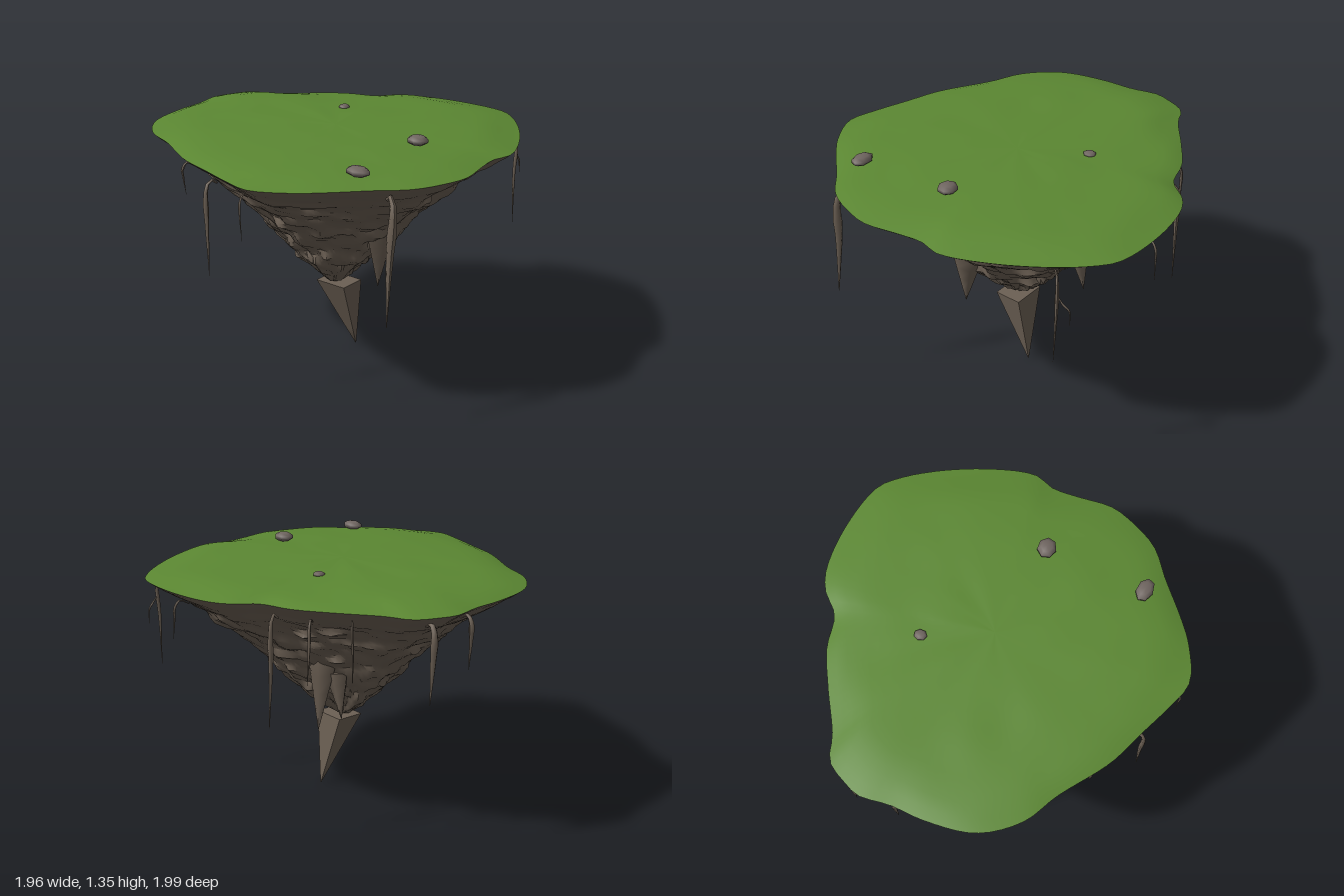
import * as THREE from 'three';
import { toCreasedNormals } from 'three/addons/utils/BufferGeometryUtils.js';

const SEG = 112;
const CX = -0.01, CZ = 0.05; // axis of the island

// Rim outline, pairs of x, z
const RIM = [
  [0.975, 0.2], [0.95, 0.49], [0.87, 0.6], [0.76, 0.7], [0.62, 0.8], [0.48, 0.88], [0.32, 0.95],
  [0.24, 0.965], [0.14, 0.94], [0, 0.96], [-0.18, 0.995], [-0.28, 0.98], [-0.48, 0.9], [-0.62, 0.76],
  [-0.78, 0.61], [-0.88, 0.5], [-0.98, 0.31], [-0.95, 0.15], [-0.89, -0.05], [-0.83, -0.25],
  [-0.68, -0.53], [-0.6, -0.72], [-0.43, -0.88], [-0.18, -0.95], [0, -0.965], [0.16, -1], [0.24, -0.98],
  [0.37, -0.92], [0.43, -0.8], [0.58, -0.6], [0.7, -0.42], [0.76, -0.25], [0.87, -0.16], [0.93, -0.06],
];
// Profiles as [fraction of rim radius, y]
const GRASS = [[0, 1.305], [0.3, 1.302], [0.6, 1.295], [0.8, 1.285], [0.92, 1.267], [0.98, 1.253], [1, 1.248]];
const ROCK = [[1, 1.248], [0.985, 1.235], [0.93, 1.2], [0.85, 1.15], [0.75, 1.085], [0.62, 0.98], [0.5, 0.87],
  [0.4, 0.77], [0.3, 0.66], [0.2, 0.555], [0.11, 0.475], [0.05, 0.425], [0, 0.405]];

const hash = (a, b) => {
  const s = Math.sin(a * 127.1 + b * 311.7) * 43758.5453;
  return (s - Math.floor(s)) * 2 - 1;
};

// Smooth value noise, periodic in u
function noise(u, v, period) {
  const i = Math.floor(u), j = Math.floor(v);
  const s = (t) => t * t * (3 - 2 * t);
  const fu = s(u - i), fv = s(v - j);
  const h = (a, b) => hash(a % period, b);
  return THREE.MathUtils.lerp(
    THREE.MathUtils.lerp(h(i, j), h(i + 1, j), fu),
    THREE.MathUtils.lerp(h(i, j + 1), h(i + 1, j + 1), fu), fv);
}

// Evenly resample a profile into n + 1 rings
function sampleProfile(profile, n) {
  const path = new THREE.CurvePath();
  for (let i = 1; i < profile.length; i++) {
    path.add(new THREE.LineCurve(new THREE.Vector2(...profile[i - 1]), new THREE.Vector2(...profile[i])));
  }
  return Array.from({ length: n + 1 }, (_, i) => path.getPoint(i / n));
}

// Skin of rings scaled from the rim outline toward the axis
function shell(profile, n, displace) {
  const rim = new THREE.CatmullRomCurve3(RIM.map(([x, z]) => new THREE.Vector3(x, 0, z)), true).getSpacedPoints(SEG);
  const pos = [], index = [];
  sampleProfile(profile, n).forEach(({ x: f, y }, r) => {
    for (let s = 0; s < SEG; s++) {
      const [df, dy] = displace(s, r, f);
      pos.push(CX + (rim[s].x - CX) * (f + df), y + dy, CZ + (rim[s].z - CZ) * (f + df));
    }
  });
  for (let r = 0; r < n; r++) {
    for (let s = 0; s < SEG; s++) {
      const t = (s + 1) % SEG;
      const a = r * SEG + s, b = r * SEG + t, c = a + SEG, d = b + SEG;
      index.push(a, b, c, b, d, c);
    }
  }
  const g = new THREE.BufferGeometry();
  g.setAttribute('position', new THREE.Float32BufferAttribute(pos, 3));
  g.setIndex(index);
  g.computeVertexNormals();
  return g;
}

// Round tube along points, tapering to a fine tip
function taperedTube(points, radius) {
  const curve = new THREE.CatmullRomCurve3(points.map((p) => new THREE.Vector3(...p)));
  const segs = 14, sides = 6;
  const g = new THREE.TubeGeometry(curve, segs, radius, sides);
  const p = g.attributes.position, v = new THREE.Vector3();
  for (let i = 0; i < p.count; i++) {
    const t = Math.floor(i / (sides + 1)) / segs;
    const c = curve.getPointAt(t);
    const k = t < 0.35 ? 0.4 + 1.7 * t : 1 - 0.92 * (t - 0.35) / 0.65;
    v.fromBufferAttribute(p, i).sub(c).multiplyScalar(k).add(c);
    p.setXYZ(i, v.x, v.y, v.z);
  }
  g.computeVertexNormals();
  return g;
}

// Upside-down pyramid whose tip is pulled sideways
function spike([x, y, z], tip, rx, rz, sides) {
  const h = y - tip[1];
  const g = new THREE.CylinderGeometry(1, 0.02, h, sides, 4, false, Math.PI / 4);
  const p = g.attributes.position;
  for (let i = 0; i < p.count; i++) {
    const t = 0.5 - p.getY(i) / h;
    p.setXYZ(i, x + p.getX(i) * rx + (tip[0] - x) * t, y - t * h, z + p.getZ(i) * rz + (tip[2] - z) * t);
  }
  return toCreasedNormals(g, 1.3);
}

export function createModel() {
  const group = new THREE.Group();
  const grass = new THREE.MeshStandardMaterial({ color: 0x5b8732 });
  const earth = new THREE.MeshStandardMaterial({ color: 0x6c6054, side: THREE.DoubleSide });
  const stone = new THREE.MeshStandardMaterial({ color: 0x6f6560 });
  const add = (name, geometry, material) => {
    const m = new THREE.Mesh(geometry, material);
    m.name = name;
    group.add(m);
    return m;
  };

  // Gently domed, slightly uneven grass surface
  const top = shell(GRASS, 16, (s, r, f) => [0, f < 0.99 ? 0.009 * f * noise(s / 7, r / 4, SEG / 7) : 0]);
  top.index.array.reverse();
  top.computeVertexNormals();
  if (top.attributes.normal.getY(SEG * 5) < 0) {
    top.index.array.reverse();
    top.computeVertexNormals();
  }
  add('grassTop', top, grass);

  // Rugged underside with wide, short ledges
  const under = shell(ROCK, 40, (s, r, f) => {
    const rough = THREE.MathUtils.smoothstep(1 - f, 0.04, 0.3) * Math.min(1, f * 5);
    const ledge = noise(s / 4, r / 2, SEG / 4) * 0.032 + noise(s / 2, r + 50.5, SEG / 2) * 0.018;
    return [ledge * rough, hash(s >> 1, r + 90) * 0.007 * rough];
  });
  add('rockUnderside', toCreasedNormals(under, 0.7), earth);

  // Stalactites
  add('mainSpike', spike([0.005, 0.412, 0.065], [0.11, 0, 0.105], 0.11, 0.135, 4), earth);
  add('frontSpike', spike([-0.067, 0.8, 0.395], [-0.085, 0.495, 0.4], 0.094, 0.074, 5), earth);
  add('leftSpike', spike([0.25, 0.85, -0.115], [0.31, 0.445, -0.13], 0.09, 0.092, 5), earth);
  add('backSpike', spike([0.205, 0.76, -0.16], [0.225, 0.51, -0.22], 0.07, 0.07, 5), earth);

  // Hanging roots: x, z, tip y, radius, sideways drift of the tip in x
  [
    [-0.97, 0.25, 0.97, 0.006, 0], [-0.905, -0.03, 0.71, 0.014, -0.01], [-0.55, 0.83, 0.57, 0.024, -0.05],
    [-0.77, -0.33, 1.03, 0.008, 0.01], [0.96, 0.2, 0.99, 0.007, 0.01], [0.755, 0.7, 0.69, 0.011, -0.01],
    [0.745, -0.32, 0.62, 0.015, 0.015], [0.65, -0.5, 0.87, 0.009, 0.01], [0.51, -0.65, 0.87, 0.009, -0.01],
    [0.25, -0.94, 0.8, 0.02, 0.01], [0, -0.935, 0.92, 0.014, 0],
  ].forEach(([x, z, tip, r, drift]) => {
    const y = 1.195, at = (t) => y + (tip - y) * t;
    add('root', taperedTube([
      [x * 0.92, y - 0.02, z * 0.92], [x * 0.97, y + 0.005, z * 0.97], [x, y - 0.03, z],
      [x + drift * 0.4, at(0.45), z], [x + drift, tip, z + 0.01],
    ], r), earth);
  });
  add('rootBranch', taperedTube([[0.755, 1.09, 0.7], [0.79, 1.05, 0.7], [0.82, 1.02, 0.69], [0.825, 0.94, 0.69]], 0.006), earth);

  // Small smooth stones on the grass: position and half sizes
  [
    [-0.56, 1.3, 0.63, 0.046, 0.026, 0.068], [-0.015, 1.318, 0.585, 0.052, 0.027, 0.058],
    [0.31, 1.3, -0.145, 0.036, 0.014, 0.031],
  ].forEach(([x, y, z, a, b, c], i) => {
    const m = add('stone', new THREE.SphereGeometry(1, 7, 5), stone);
    m.position.set(x, y, z);
    m.scale.set(a, b, c);
    m.rotation.y = 0.15 * i;
  });
  return group;
}
